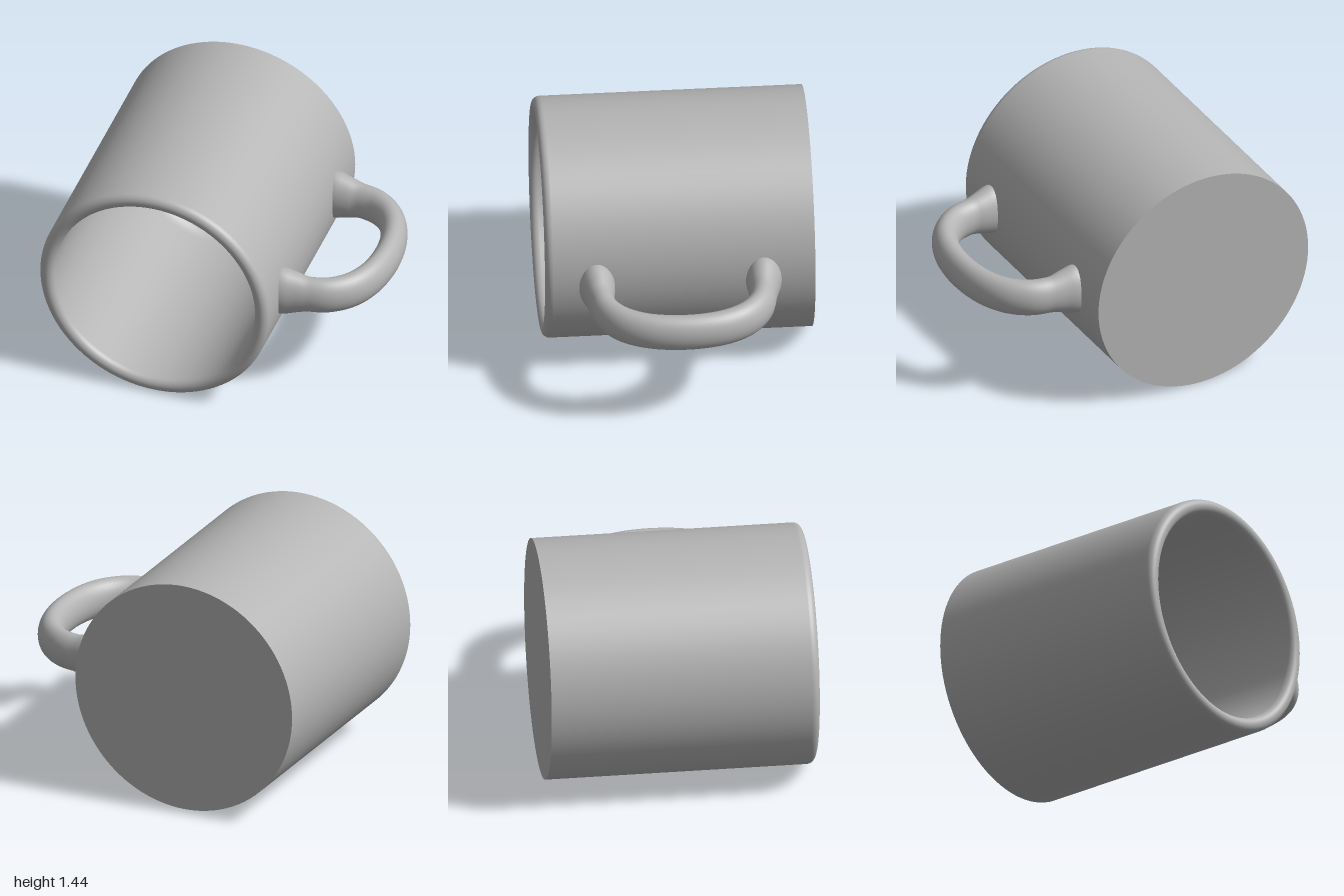
import * as THREE from 'three';

const CX = -0.28, R = 0.72, BACK = -0.805, FRONT = 0.805;

// Quarter/half arc as profile points
function arc(cx, cy, r, from, to, n) {
  return Array.from({ length: n + 1 }, (_, i) => {
    const a = from + (to - from) * i / n;
    return new THREE.Vector2(cx + r * Math.cos(a), cy + r * Math.sin(a));
  });
}

// Lathe about the mug axis, which lies along z
function turned(name, points, material) {
  const geometry = new THREE.LatheGeometry(points, 96);
  geometry.rotateX(Math.PI / 2);
  const mesh = new THREE.Mesh(geometry, material);
  mesh.position.set(CX, R, 0);
  mesh.name = name;
  return mesh;
}

// Elliptical section swept along a path in the xz plane, flared at both ends
function handleGeometry() {
  const half = [[0.38, 0.5], [0.43, 0.497], [0.5, 0.491], [0.58, 0.485], [0.7, 0.455], [0.81, 0.367], [0.885, 0.22]];
  const path = [...half, [0.915, 0], ...half.map(([x, z]) => [x, -z]).reverse()];
  const curve = new THREE.CatmullRomCurve3(path.map(([x, z]) => new THREE.Vector3(x, R, z)), false, 'centripetal');
  const steps = 72, sides = 32, position = [], index = [];
  for (let i = 0; i <= steps; i++) {
    const p = curve.getPointAt(i / steps), t = curve.getTangentAt(i / steps);
    const flare = THREE.MathUtils.clamp((0.58 - p.x) / 0.14, 0, 1);
    const a = 0.08 + 0.028 * flare, b = 0.116 + 0.042 * flare;
    for (let j = 0; j < sides; j++) {
      const q = j / sides * Math.PI * 2, c = Math.cos(q) * a;
      position.push(p.x - t.z * c, p.y + Math.sin(q) * b, p.z + t.x * c);
      if (i < steps) {
        const k = i * sides, n = (j + 1) % sides;
        index.push(k + j, k + sides + j, k + n, k + n, k + sides + j, k + sides + n);
      }
    }
  }
  const geometry = new THREE.BufferGeometry();
  geometry.setAttribute('position', new THREE.Float32BufferAttribute(position, 3));
  geometry.setIndex(index);
  geometry.computeVertexNormals();
  return geometry;
}

export function createModel() {
  const model = new THREE.Group();
  model.name = 'mug';
  const ceramic = new THREE.MeshStandardMaterial({ color: 0xb4b4b4 });
  ceramic.name = 'grey ceramic';
  const v = (x, y) => new THREE.Vector2(x, y);
  const lip = 0.045, inner = R - 2 * lip, floor = -0.7, fillet = 0.13;

  // Flat base, outer wall, rounded lip, and hollow with a filleted floor
  model.add(
    turned('base', [v(0, BACK), v(R, BACK)], ceramic),
    turned('outerWall', [v(R, BACK), v(R, FRONT - lip)], ceramic),
    turned('lip', arc(R - lip, FRONT - lip, lip, 0, Math.PI, 16), ceramic),
    turned('innerWall', [v(inner, FRONT - lip), v(inner, floor + fillet + 0.01),
      ...arc(inner - fillet, floor + fillet, fillet, 0, -Math.PI / 2, 10), v(0, floor)], ceramic),
  );

  // Side handle
  const handle = new THREE.Mesh(handleGeometry(), ceramic);
  handle.name = 'handle';
  model.add(handle);
  return model;
}
